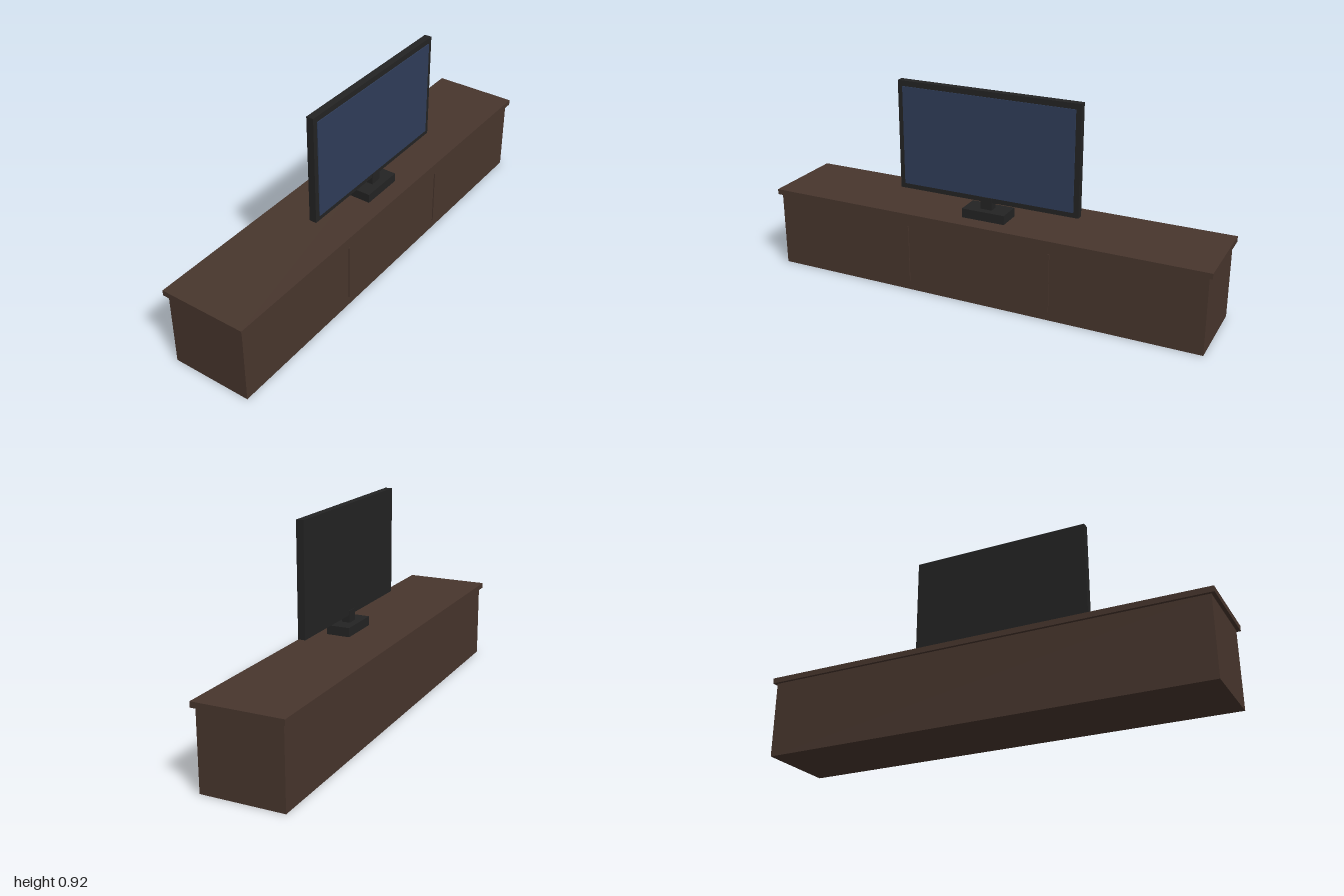
import * as THREE from 'three';

export function createModel() {
  const model = new THREE.Group();
  const paint = (name, color) => {
    const m = new THREE.MeshStandardMaterial({ color });
    m.name = name;
    return m;
  };
  const wood = paint('darkWood', 0x48362d);
  const plastic = paint('blackPlastic', 0x232323);
  const glass = paint('blueScreen', 0x2f3d59);

  // Box given by its extents along each axis
  const box = (parent, name, material, [x0, x1], [y0, y1], [z0, z1]) => {
    const mesh = new THREE.Mesh(new THREE.BoxGeometry(x1 - x0, y1 - y0, z1 - z0), material);
    mesh.position.set((x0 + x1) / 2, (y0 + y1) / 2, (z0 + z1) / 2);
    mesh.name = name;
    parent.add(mesh);
  };

  // Low cabinet with an overhanging top
  const cabinet = new THREE.Group();
  cabinet.name = 'cabinet';
  box(cabinet, 'cabinetBody', wood, [-0.985, 0.985], [0, 0.338], [-0.18, 0.18]);
  box(cabinet, 'cabinetTop', wood, [-1, 1], [0.338, 0.362], [-0.193, 0.193]);

  // Thin strips dividing the front into three panels
  for (const x of [-0.328, 0.328]) {
    box(cabinet, 'panelDivider', wood, [x - 0.003, x + 0.003], [0.04, 0.3], [0.178, 0.185]);
  }

  // Television on its stand
  const television = new THREE.Group();
  television.name = 'television';
  box(television, 'standBase', plastic, [-0.098, 0.098], [0.362, 0.402], [0.015, 0.119]);
  box(television, 'standNeck', plastic, [-0.026, 0.026], [0.402, 0.455], [0.048, 0.086]);
  box(television, 'screenFrame', plastic, [-0.413, 0.413], [0.435, 0.915], [0.051, 0.083]);
  box(television, 'screen', glass, [-0.391, 0.391], [0.457, 0.891], [0.08, 0.0865]);

  model.add(cabinet, television);
  return model;
}
